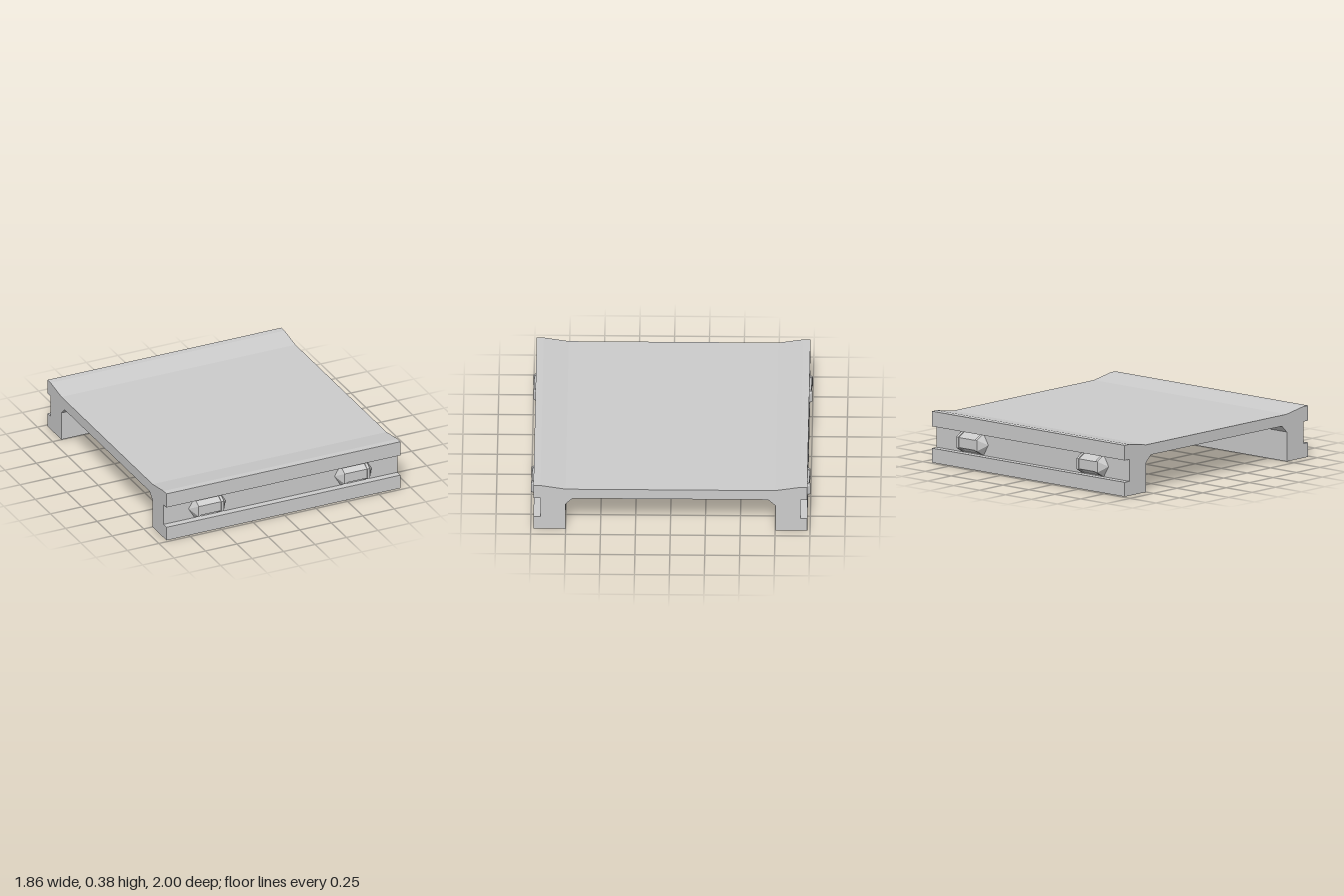
import * as THREE from 'three';

const material = new THREE.MeshStandardMaterial({ color: 0xcccccc, flatShading: true });

// Deck with side legs: one cross-section (z, y), mirrored and extruded along x
function deckGeometry() {
  const half = [
    [0.75, 0.345], [0.93, 0.375], [0.98, 0.375],              // raised rim
    [0.98, 0.265], [0.93, 0.265], [0.93, 0.105], [0.98, 0.105], // side groove
    [0.98, 0], [0.752, 0], [0.752, 0.215], [0.7, 0.265],      // leg and inner chamfer
  ];
  const mirrored = half.map(([z, y]) => [-z, y]).reverse();
  const shape = new THREE.Shape([...half, ...mirrored].map(([z, y]) => new THREE.Vector2(z, y)));
  const width = 1.86;
  return new THREE.ExtrudeGeometry(shape, { depth: width, bevelEnabled: false })
    .translate(0, 0, -width / 2)
    .rotateY(-Math.PI / 2);
}

// Half hexagonal lamp with pointed ends and a thin collar at each end, lying along x
function lampGeometry() {
  const half = [[0.073, 0.08], [0.08, 0.08], [0.08, 0.1], [0, 0.147]];
  const profile = [...half.map(([r, l]) => [r, -l]).reverse(), ...half]
    .map(([r, l]) => new THREE.Vector2(r, l));
  return new THREE.LatheGeometry(profile, 3, -Math.PI / 2, Math.PI).rotateZ(-Math.PI / 2);
}

export function createModel() {
  const model = new THREE.Group();
  model.name = 'deckSection';

  const deck = new THREE.Mesh(deckGeometry(), material);
  deck.name = 'deck';
  model.add(deck);

  // Two lamps in the groove on each side
  const lamp = lampGeometry();
  for (const side of [1, -1]) {
    for (const x of [-0.583, 0.577]) {
      const mesh = new THREE.Mesh(lamp, material);
      mesh.name = `${side > 0 ? 'front' : 'back'}${x > 0 ? 'Left' : 'Right'}Lamp`;
      mesh.position.set(x, 0.185, side * 0.93);
      if (side < 0) mesh.rotation.y = Math.PI;
      model.add(mesh);
    }
  }
  return model;
}
